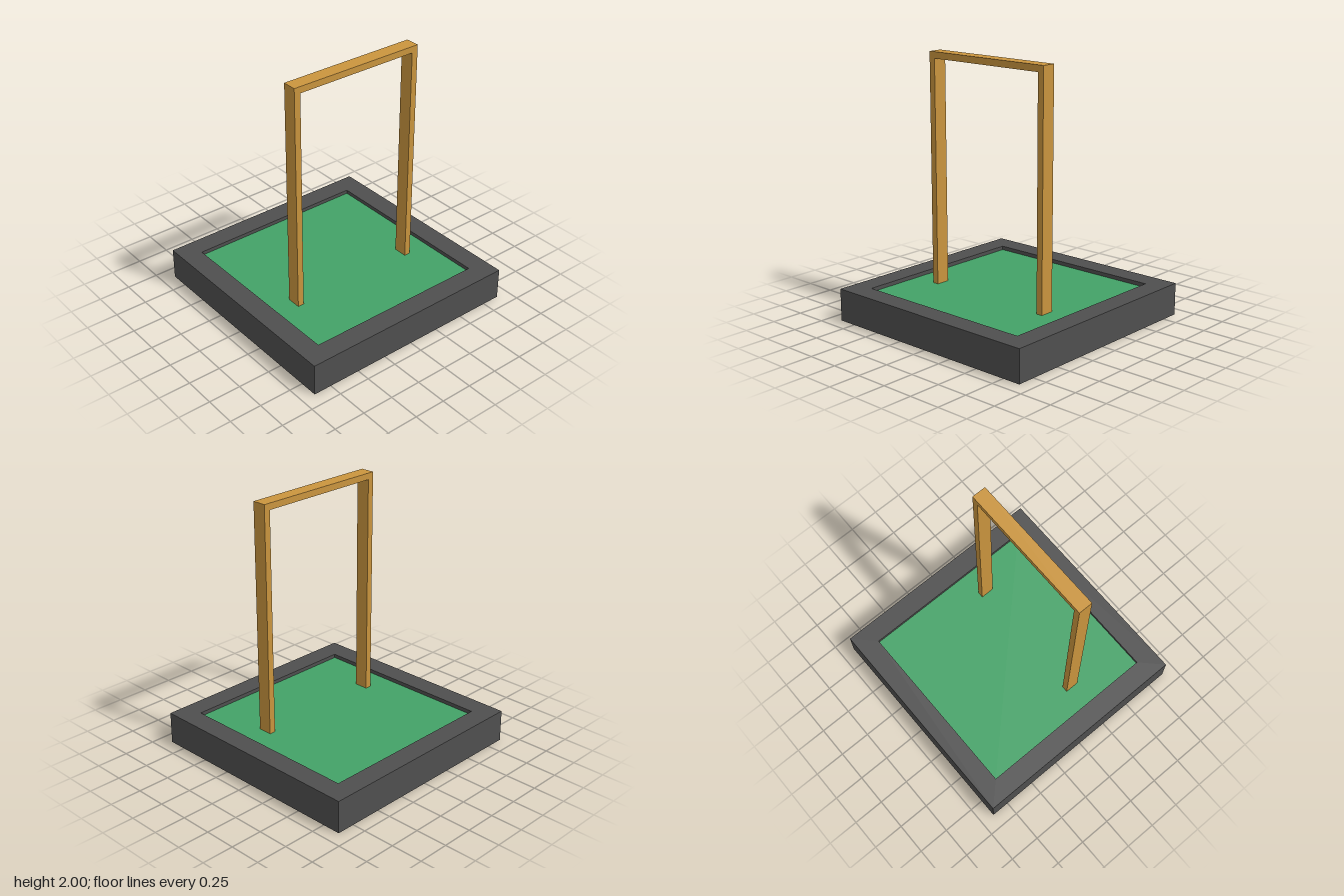
import * as THREE from 'three';

const frameGrey = new THREE.MeshStandardMaterial({ name: 'frameGrey', color: 0x4f4f4f });
const turfGreen = new THREE.MeshStandardMaterial({ name: 'turfGreen', color: 0x43a267 });
const woodOchre = new THREE.MeshStandardMaterial({ name: 'woodOchre', color: 0xca953e });

const HALF = 0.893;   // half width of the base
const INNER = 0.73;   // half width of the opening
const RIM = 0.25;     // height of the rim
const FLOOR = 0.22;   // top of the inset panel

function polygon(points, Type = THREE.Shape) {
  return new Type(points.map(([x, y]) => new THREE.Vector2(x, y)));
}

function square(h, Type) {
  return polygon([[-h, -h], [h, -h], [h, h], [-h, h]], Type);
}

function addMesh(group, name, geometry, material) {
  const mesh = new THREE.Mesh(geometry, material);
  mesh.name = name;
  group.add(mesh);
  return mesh;
}

export function createModel() {
  const model = new THREE.Group();
  model.name = 'archOnBase';

  // Square surround, open in the middle
  const outline = square(HALF);
  outline.holes.push(square(INNER, THREE.Path));
  const frame = new THREE.ExtrudeGeometry(outline, { depth: RIM, bevelEnabled: false });
  frame.rotateX(-Math.PI / 2);
  addMesh(model, 'baseFrame', frame, frameGrey);

  // Panel set slightly below the rim and above the underside
  const bottom = 0.01;
  const panel = addMesh(model, 'insetPanel',
    new THREE.BoxGeometry(INNER * 2, FLOOR - bottom, INNER * 2), turfGreen);
  panel.position.y = (FLOOR + bottom) / 2;

  // Upright arch running front to back, offset to the left
  const z = 0.547, t = 0.05, top = 2;
  const arch = new THREE.ExtrudeGeometry(polygon([
    [-z, FLOOR], [-z + t, FLOOR], [-z + t, top - t], [z - t, top - t],
    [z - t, FLOOR], [z, FLOOR], [z, top], [-z, top],
  ]), { depth: 0.11, bevelEnabled: false });
  arch.rotateY(-Math.PI / 2);
  arch.translate(0.262, 0, 0);
  addMesh(model, 'arch', arch, woodOchre);

  return model;
}
